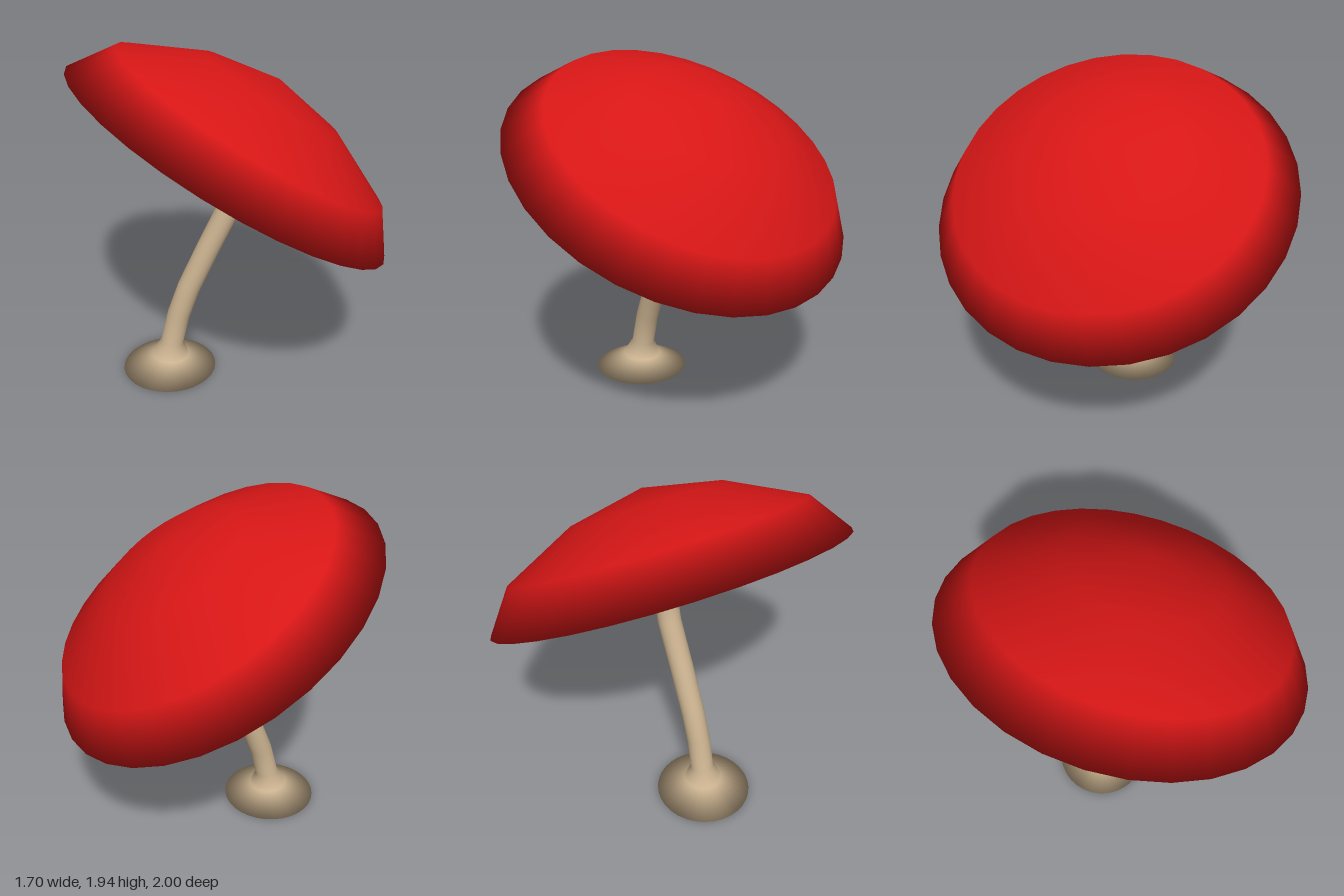
import * as THREE from 'three';
import { mergeVertices } from 'three/addons/utils/BufferGeometryUtils.js';

const SIDES = 32;
const ROW = SIDES * 6; // indices in one row of faces

const material = (name, color) => {
  const m = new THREE.MeshStandardMaterial({ color });
  m.name = name;
  return m;
};

// Smooth skin through round rings of [radius, y, x, tilt about z]
function loft(rings) {
  const positions = [], index = [];
  rings.forEach(([r, y, x = 0, tilt = 0], row) => {
    for (let i = 0; i < SIDES; i++) {
      const a = (i / SIDES) * Math.PI * 2;
      const u = Math.cos(a) * r;
      positions.push(x + u * Math.cos(tilt), y + u * Math.sin(tilt), Math.sin(a) * r);
      if (row === 0) continue;
      const next = (i + 1) % SIDES, low = (row - 1) * SIDES, high = row * SIDES;
      index.push(low + i, high + i, low + next, low + next, high + i, high + next);
    }
  });
  const g = new THREE.BufferGeometry();
  g.setAttribute('position', new THREE.Float32BufferAttribute(positions, 3));
  g.setIndex(index);
  const merged = mergeVertices(g); // joins the points at each pole
  merged.computeVertexNormals();
  return merged;
}

export function createModel() {
  const red = material('cap red', 0xd71616);
  const tan = material('stem tan', 0xc8b08e);
  const brown = material('gill brown', 0x432e20);

  const model = new THREE.Group();
  model.name = 'mushroom';
  const add = (parent, name, geometry, mat) => {
    const mesh = new THREE.Mesh(geometry, mat);
    mesh.name = name;
    parent.add(mesh);
  };

  // Curved stem with a flared, closed foot
  add(model, 'stem', loft([
    [0, 0, -0.375],
    [0.276, 0, -0.375],
    [0.11, 0.083, -0.368, -0.06],
    [0.067, 0.17, -0.355, -0.16],
    [0.067, 0.355, -0.31, -0.29],
    [0.067, 0.53, -0.245, -0.4],
    [0.067, 0.78, -0.125, -0.46],
    [0.067, 1.03, 0, -0.4],
    [0.067, 1.21, 0.048, -0.17],
    [0.067, 1.5, 0.057],
  ]), tan);

  // Tilted cap
  const cap = new THREE.Group();
  cap.name = 'cap';
  cap.position.y = 1.305;
  cap.rotation.z = -0.553;
  model.add(cap);

  // Shell: tan lining from the middle out to the rim, then red dome up to the top
  const shell = loft([
    [0, 0.21], [0.5, 0.21], [1, 0],
    [0.835, 0.227], [0.421, 0.428], [0, 0.512],
  ]);
  shell.addGroup(0, ROW * 2, 0);
  shell.addGroup(ROW * 2, ROW * 3, 1);
  add(cap, 'capShell', shell, [tan, red]);

  // Shallow dark hollow under the cap
  add(cap, 'gills', loft([[0, 0.155], [0.35, 0.14], [0.65, 0.105], [0.885, 0.048]]), brown);

  return model;
}
